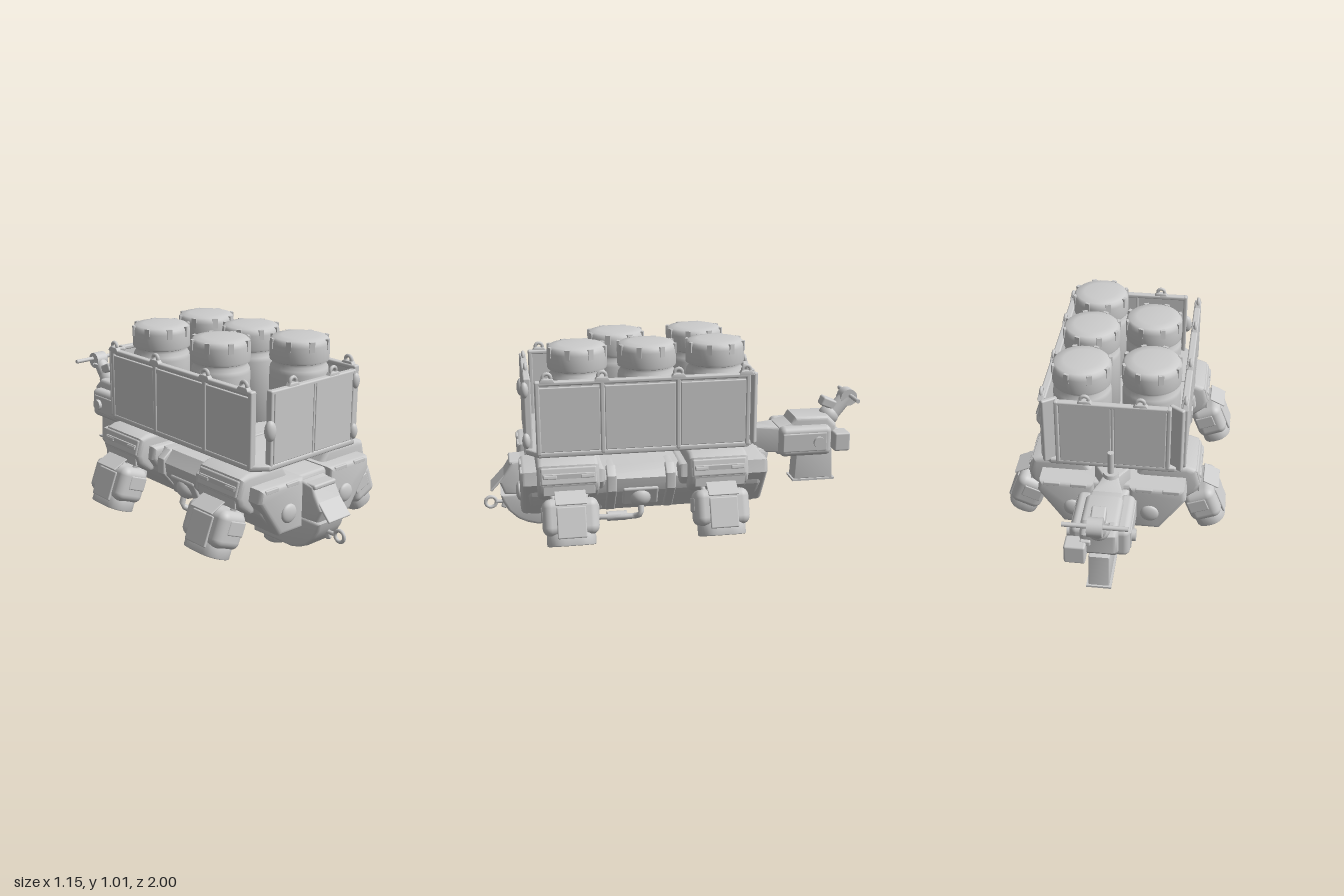
import * as THREE from 'three';
import { toCreasedNormals } from 'three/addons/utils/BufferGeometryUtils.js';
import { RoundedBoxGeometry } from 'three/addons/geometries/RoundedBoxGeometry.js';

const mat = new THREE.MeshStandardMaterial({ color: 0xcccccc, side: THREE.DoubleSide });

function add(parent, name, geo, x = 0, y = 0, z = 0, rx = 0, ry = 0, rz = 0) {
  const m = new THREE.Mesh(geo, mat);
  m.name = name;
  m.position.set(x, y, z);
  m.rotation.set(rx, ry, rz);
  parent.add(m);
  return m;
}
function group(parent, name, x = 0, y = 0, z = 0) {
  const g = new THREE.Group();
  g.name = name;
  g.position.set(x, y, z);
  parent.add(g);
  return g;
}
const box = (w, h, d) => new THREE.BoxGeometry(w, h, d);
const rbox = (w, h, d, r = 0.02, n = 2) => new RoundedBoxGeometry(w, h, d, n, r);
const cyl = (r1, r2, h, n = 24) => new THREE.CylinderGeometry(r1, r2, h, n);
const ball = (r) => new THREE.SphereGeometry(r, 24, 16);
const vec = (p) => new THREE.Vector3(...p);
const tube = (pts, r) =>
  new THREE.TubeGeometry(new THREE.CatmullRomCurve3(pts.map(vec), false, 'catmullrom', 0.2), 24, r, 10);
const flip = (pts, s) => pts.map(([x, y]) => [x * s, y]);

// Bevelled extrusion of an outline from a to b along z
function prism(pts, a, b, bevel = 0.012) {
  const g = new THREE.ExtrudeGeometry(new THREE.Shape(pts.map((p) => new THREE.Vector2(...p))), {
    depth: b - a - 2 * bevel, bevelEnabled: bevel > 0, bevelSize: bevel, bevelThickness: bevel,
    bevelOffset: -bevel, bevelSegments: 3,
  });
  g.translate(0, 0, a + bevel);
  return toCreasedNormals(g, 0.6);
}
// Outline in (z, y), extruded across x and centred
const sideProfile = (pts, w, bevel) => prism(pts, -w / 2, w / 2, bevel).rotateY(-Math.PI / 2);

function barrel(parent, x, z) {
  const g = group(parent, 'barrel', x, 0, z);
  const p = [[0, 0.51], [0.13, 0.51], [0.145, 0.53], [0.145, 0.84], [0.142, 0.86], [0.13, 0.878], [0.132, 0.89],
    [0.145, 0.895], [0.147, 0.905], [0.147, 0.975], [0.143, 0.995], [0.132, 1.006], [0.09, 1.012], [0, 1.015]];
  add(g, 'barrelBody', toCreasedNormals(new THREE.LatheGeometry(p.map((q) => new THREE.Vector2(...q)), 40), 0.9));
  for (let i = 0; i < 8; i++) {
    const a = (i + 0.5) * Math.PI / 4;
    add(g, 'rimClip', box(0.026, 0.05, 0.014), Math.sin(a) * 0.143, 0.98, Math.cos(a) * 0.143, 0, a);
  }
}

function lug(parent, x, y, z, ry) {
  const g = group(parent, 'liftingLug', x, y, z);
  g.rotation.y = ry;
  add(g, 'lugEye', new THREE.TorusGeometry(0.019, 0.009, 8, 20));
  add(g, 'lugFoot', prism([[-0.042, -0.028], [0.042, -0.028], [0.026, -0.004], [-0.026, -0.004]], -0.014, 0.014, 0.004));
}

// Open cargo bin, its front gate standing clear of the side walls
function cargoBin(parent) {
  const g = group(parent, 'cargoBin');
  add(g, 'binFloor', prism([[-0.36, -0.31], [-0.31, -0.355], [0.31, -0.355], [0.36, -0.31], [0.36, 0.72],
    [0.29, 0.78], [-0.29, 0.78], [-0.36, 0.72]], 0, 0.03, 0.008).rotateX(Math.PI / 2), 0, 0.522, 0);
  for (const z of [0.04, 0.43]) add(g, 'floorRib', rbox(0.68, 0.02, 0.03, 0.005), 0, 0.52, z);
  for (const s of [1, -1]) {
    add(g, 'sideWall', box(0.018, 0.35, 1.03), s * 0.34, 0.685, 0.207);
    for (const [a, b] of [[0.42, 0.716], [0.05, 0.396], [-0.3, 0.025]])
      add(g, 'sidePanel', rbox(0.018, 0.32, b - a, 0.004), s * 0.351, 0.68, (a + b) / 2);
    for (const z of [0.718, 0.408, 0.037, -0.31]) add(g, 'wallPost', rbox(0.036, 0.365, 0.024, 0.008), s * 0.346, 0.687, z);
    add(g, 'sideTopRail', rbox(0.036, 0.022, 1.05, 0.008), s * 0.346, 0.86, 0.205);
    add(g, 'rearCornerPost', rbox(0.085, 0.365, 0.025, 0.008), s * 0.312, 0.687, -0.33, 0, s * 0.6);
    for (const z of [0.67, 0.408, 0.037, -0.3]) lug(g, s * 0.35, 0.888, z, Math.PI / 2);
    for (const [z, d] of [[0.762, 1], [-0.342, -1]]) {
      add(g, 'endPanel', rbox(0.254, 0.34, 0.016, 0.004), s * 0.135, 0.69, z + d * 0.009);
      add(g, 'endPost', rbox(0.022, 0.365, 0.036, 0.008), s * 0.274, 0.69, z);
      lug(g, s * 0.135, 0.888, z, 0);
    }
  }
  for (const z of [0.762, -0.342]) {
    add(g, 'endWall', box(0.55, 0.35, 0.016), 0, 0.69, z);
    add(g, 'endTopRail', rbox(0.57, 0.022, 0.034, 0.008), 0, 0.86, z);
    add(g, 'endCentrePost', rbox(0.014, 0.35, 0.034, 0.005), 0, 0.69, z);
  }
  for (const [x, y, r] of [[-0.285, 0.685, 0.05], [0.283, 0.815, 0.04], [0.283, 0.56, 0.04]])
    add(g, 'gateLatch', ball(r), x, y, 0.775).scale.set(0.6, 1, 0.5);
}

// Thruster pod on its bracket, for the +x side, centred on z = 0
function thruster(parent) {
  add(parent, 'armShaft', cyl(0.045, 0.055, 0.16), 0.36, 0.255, 0, 0, 0, 1.2);
  add(parent, 'armJoint', ball(0.062), 0.345, 0.235, 0);
  for (const z of [-0.1, 0.1])
    add(parent, 'armHose', tube([[0.3, 0.29, z], [0.36, 0.32, z], [0.4, 0.31, z * 0.8], [0.43, 0.25, z * 0.7]], 0.013));
  for (const x of [0.412, 0.432]) add(parent, 'bracketPlate', rbox(0.01, 0.11, 0.25, 0.004), x, 0.38, 0);
  const pod = group(parent, 'thrusterPod', 0.462, 0.2, 0);
  pod.rotation.z = 0.38;
  add(pod, 'podBody', rbox(0.165, 0.18, 0.27, 0.042, 4), 0, 0.022, 0);
  // Hollow rounded nozzle under the pod
  const ring = (k) => {
    const pts = [[-0.07, -0.08], [-0.045, -0.11], [0.03, -0.112], [0.068, -0.075], [0.075, 0], [0.068, 0.075],
      [0.03, 0.112], [-0.045, 0.11], [-0.07, 0.08], [-0.073, 0]].map(([x, z]) => new THREE.Vector3(x * k, z * k, 0));
    return new THREE.CatmullRomCurve3(pts, true).getPoints(40).slice(0, -1).map((p) => new THREE.Vector2(p.x, p.y));
  };
  const nozzle = new THREE.Shape(ring(0.96));
  nozzle.holes.push(new THREE.Path(ring(0.74)));
  add(pod, 'podNozzle', toCreasedNormals(new THREE.ExtrudeGeometry(nozzle, { depth: 0.06, bevelSize: 0.006,
    bevelThickness: 0.006, bevelSegments: 2 }).rotateX(Math.PI / 2), 0.7), 0, -0.05, 0);
  add(pod, 'podOuterPlate', rbox(0.014, 0.15, 0.14, 0.006), 0.083, -0.005, 0);
  for (const z of [-0.132, 0.132]) add(pod, 'podSidePlate', rbox(0.1, 0.07, 0.014, 0.006), -0.015, 0.04, z);
  add(parent, 'podFlap', rbox(0.09, 0.008, 0.15, 0.003), 0.492, 0.333, 0, 0, 0, -0.45);
}

function chassis(parent) {
  const g = group(parent, 'chassis');
  const half = [[0.05, 0.16], [0.23, 0.16], [0.34, 0.29], [0.35, 0.36], [0.3, 0.42], [0.05, 0.42]];
  const full = [...half, ...flip(half, -1).reverse()];
  add(g, 'hullCore', prism(full, -0.39, 0.78, 0.02));
  add(g, 'bellyPlate', rbox(0.34, 0.03, 0.5, 0.012), 0, 0.158, 0.2);
  const deck = [[0.085, 0.4], [0.12, 0.44], [0.19, 0.475], [0.3, 0.505]];
  add(g, 'deck', prism([...deck, ...flip(deck, -1).reverse()], 0.05, 0.39, 0.004));
  for (const s of [1, -1]) {
    const block = flip([[0.09, 0.17], [0.245, 0.17], [0.375, 0.36], [0.365, 0.425], [0.09, 0.425]], s);
    const fender = flip([[0.1, 0.4], [0.155, 0.485], [0.37, 0.485], [0.415, 0.47], [0.44, 0.38], [0.425, 0.335],
      [0.36, 0.28], [0.2, 0.28]], s);
    for (const [a, b, end, d] of [[0.4, 0.815, 0.815, 1], [-0.42, 0.04, -0.42, -1]]) {
      add(g, 'hullBlock', prism(block, a, b, 0.024));
      add(g, 'roundLamp', ball(0.047), s * 0.195, 0.275, end + d * 0.002).scale.z = 0.4;
      for (const x of [0.165, 0.3]) add(g, 'markerLamp', rbox(0.085, 0.022, 0.02, 0.005), s * x, 0.41, end - d * 0.01);
    }
    for (const zc of [0.585, -0.155]) {
      add(g, 'fender', prism(fender, zc - 0.15, zc + 0.15, 0.025));
      add(g, 'fenderPlate', rbox(0.02, 0.085, 0.27, 0.009), s * 0.424, 0.42, zc, 0, 0, s * 0.25);
      for (const dz of [-0.09, 0.09]) add(g, 'fenderLamp', rbox(0.012, 0.018, 0.065, 0.004), s * 0.436, 0.42, zc + dz, 0, 0, s * 0.25);
      const corner = group(g, 'cornerUnit', 0, 0, zc);
      corner.rotation.y = s > 0 ? 0 : Math.PI;
      thruster(corner);
    }
    // Middle hub and lower pipework
    for (const z of [0.37, 0.075]) add(g, 'hullBand', prism(flip([[0.2, 0.17], [0.25, 0.165], [0.36, 0.3],
      [0.36, 0.38], [0.31, 0.42], [0.2, 0.42]], s), z - 0.025, z + 0.025, 0.008));
    add(g, 'hubPlate', rbox(0.03, 0.11, 0.18, 0.012), s * 0.318, 0.26, 0.225, 0, 0, -s * 0.4);
    add(g, 'hubBall', ball(0.058), s * 0.305, 0.255, 0.225);
    add(g, 'lowerPipe', tube([[s * 0.32, 0.25, 0.225], [s * 0.345, 0.17, 0.225], [s * 0.31, 0.145, 0.26],
      [s * 0.29, 0.145, 0.45], [s * 0.2, 0.145, 0.5], [s * 0.05, 0.145, 0.5]], 0.015));
    add(g, 'pipeSleeve', cyl(0.024, 0.024, 0.1, 16), s * 0.292, 0.145, 0.34, Math.PI / 2);
    add(g, 'pipeClamp', rbox(0.03, 0.05, 0.03, 0.008), s * 0.165, 0.155, 0.5);
  }
}

// Rounded chin, sensor hood and towing eye at the front
function nose(parent) {
  const g = group(parent, 'nose');
  add(g, 'chin', sideProfile([[0.47, 0.04], [0.73, 0.042], [0.78, 0.055], [0.83, 0.08], [0.875, 0.125], [0.903, 0.175],
    [0.912, 0.215], [0.78, 0.22], [0.47, 0.2]], 0.175, 0.015));
  add(g, 'chinRidge', rbox(0.018, 0.075, 0.03, 0.008), 0, 0.15, 0.885, -0.4);
  add(g, 'hood', sideProfile([[0.76, 0.2], [0.89, 0.215], [0.915, 0.28], [0.87, 0.35], [0.85, 0.385], [0.76, 0.4]], 0.165, 0.015));
  add(g, 'hoodVisor', rbox(0.15, 0.15, 0.012, 0.005), 0, 0.29, 0.908, -0.75);
  add(g, 'hoodCap', rbox(0.15, 0.025, 0.07, 0.01), 0, 0.38, 0.83);
  add(g, 'chinFoot', toCreasedNormals(new THREE.LatheGeometry([[0, 0], [0.055, 0], [0.066, 0.01], [0.068, 0.05]]
    .map((q) => new THREE.Vector2(...q)), 32), 0.9), 0, 0, 0.555);
  add(g, 'towEye', new THREE.TorusGeometry(0.028, 0.009, 10, 24), 0, 0.15, 0.963, 0, Math.PI / 2);
  add(g, 'towPin', cyl(0.01, 0.01, 0.07, 12), 0, 0.15, 0.9, Math.PI / 2);
}

// Steering unit at the back with handlebar and exhaust box
function tail(parent) {
  const g = group(parent, 'tailUnit');
  const keel = sideProfile([[-0.33, 0.16], [-0.4, 0.165], [-0.46, 0.22], [-0.5, 0.3], [-0.515, 0.37], [-0.33, 0.4]], 0.24, 0.03);
  // Narrow the keel towards its rear end
  const kp = keel.attributes.position;
  for (let i = 0; i < kp.count; i++) kp.setX(i, kp.getX(i) * (1 + (kp.getZ(i) + 0.33) * 3.2));
  add(g, 'tailKeel', toCreasedNormals(keel, 0.7));
  add(g, 'tailArm', prism([[-0.09, -0.34], [0.09, -0.34], [0.04, -0.42], [0.05, -0.46], [0.085, -0.57], [-0.085, -0.57],
    [-0.05, -0.46], [-0.04, -0.42]], 0, 0.14, 0.01).rotateX(Math.PI / 2), 0, 0.495, 0);
  add(g, 'pivotCollar', cyl(0.036, 0.042, 0.03), 0, 0.5, -0.415);
  add(g, 'pivotPost', cyl(0.016, 0.016, 0.16, 16), 0, 0.555, -0.415);
  add(g, 'tailBody', sideProfile([[-0.55, 0.345], [-0.55, 0.5], [-0.62, 0.515], [-0.64, 0.55], [-0.82, 0.55], [-0.87, 0.5],
    [-0.87, 0.4], [-0.82, 0.345]], 0.18, 0.025));
  for (const s of [1, -1]) {
    add(g, 'tailSidePod', rbox(0.08, 0.16, 0.28, 0.03, 4), s * 0.1, 0.425, -0.69);
    add(g, 'tailSideCover', rbox(0.014, 0.1, 0.24, 0.006), s * 0.138, 0.425, -0.68);
    add(g, 'tailLamp', cyl(0.03, 0.03, 0.03), s * 0.148, 0.425, -0.755, 0, 0, Math.PI / 2);
  }
  add(g, 'exhaustBox', sideProfile([[-0.655, 0.19], [-0.665, 0.36], [-0.86, 0.36], [-0.87, 0.19]], 0.1, 0.005));
  add(g, 'exhaustLip', box(0.12, 0.01, 0.235), 0, 0.186, -0.762);
  add(g, 'controlBox', rbox(0.1, 0.1, 0.085, 0.01), 0.105, 0.42, -0.882);
  add(g, 'controlBoxArm', rbox(0.05, 0.03, 0.05, 0.008), 0.06, 0.46, -0.86);
  add(g, 'steeringNeck', cyl(0.036, 0.048, 0.18), 0, 0.56, -0.885, -0.75);
  add(g, 'neckJoint', ball(0.055), 0, 0.53, -0.85);
  add(g, 'neckGauge', rbox(0.07, 0.05, 0.08, 0.01), 0, 0.6, -0.84, -0.4);
  add(g, 'steeringHead', cyl(0.045, 0.045, 0.07), 0, 0.628, -0.95, 0, 0, Math.PI / 2);
  add(g, 'handlebar', cyl(0.011, 0.011, 0.3, 14), 0, 0.638, -0.958, 0, 0, Math.PI / 2);
  add(g, 'throttleLever', tube([[0, 0.6, -0.92], [-0.035, 0.61, -0.915], [-0.06, 0.62, -0.915]], 0.007));
}

export function createModel() {
  const root = new THREE.Group();
  root.name = 'hoverCart';
  chassis(root);
  cargoBin(root);
  const cargo = group(root, 'cargo');
  for (const [x, z] of [[-0.17, -0.14], [0.17, -0.18], [0.17, 0.165], [-0.14, 0.28], [0.17, 0.51]]) barrel(cargo, x, z);
  nose(root);
  tail(root);
  return root;
}
